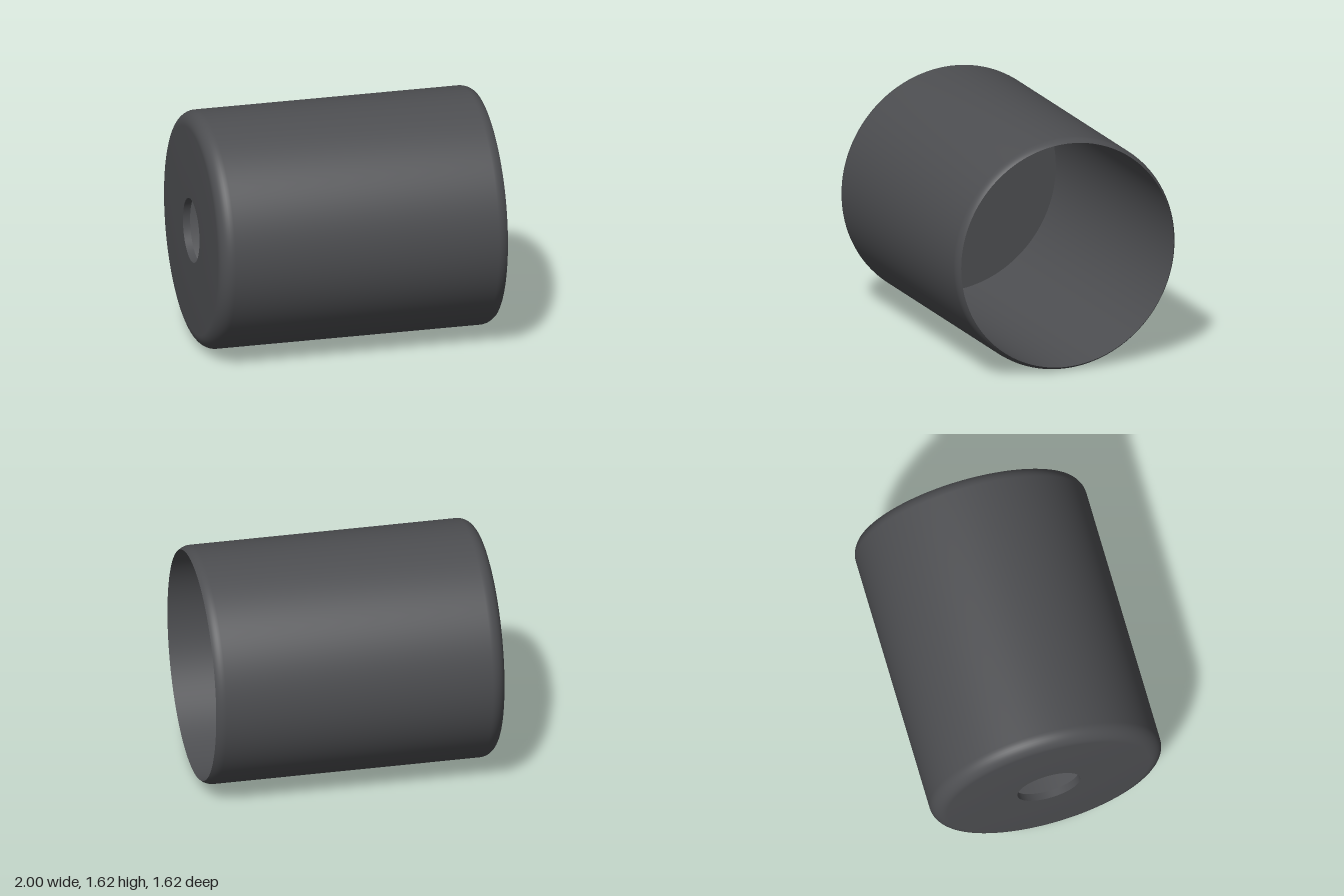
import * as THREE from 'three';
import { toCreasedNormals } from 'three/addons/utils/BufferGeometryUtils.js';

const R = 0.81;        // outer radius
const INNER = 0.784;   // bore radius
const HOLE = 0.22;     // hole in the end wall
const FLOOR = 0.05;    // end wall thickness
const FILLET = 0.1;    // outer edge rounding

// Points of a fillet arc in (radius, axis) coordinates
function arc(axis, from, to, steps) {
  const points = [];
  for (let i = 0; i <= steps; i++) {
    const a = from + (to - from) * i / steps;
    points.push(new THREE.Vector2(R - FILLET + FILLET * Math.cos(a), axis + FILLET * Math.sin(a)));
  }
  return points;
}

export function createModel() {
  const group = new THREE.Group();
  group.name = 'hollowCap';
  const material = new THREE.MeshStandardMaterial({ color: 0x4d4e51 });

  // The thin wall cuts the rim rounding short where it meets the bore
  const rimAngle = Math.acos((INNER - R + FILLET) / FILLET);
  const rimAxis = 1 - FILLET * Math.sin(rimAngle);

  // Closed section: hole, end face, rounded edge, outer wall, rim, bore, floor
  const profile = [
    new THREE.Vector2(HOLE, -1 + FLOOR),
    new THREE.Vector2(HOLE, -1),
    ...arc(-1 + FILLET, -Math.PI / 2, 0, 10),
    ...arc(rimAxis, 0, rimAngle, 6),
    new THREE.Vector2(INNER, -1 + FLOOR),
    new THREE.Vector2(HOLE, -1 + FLOOR),
  ];
  const geometry = toCreasedNormals(new THREE.LatheGeometry(profile, 128), 0.5);

  // Lay the axis along x, open end towards +x
  const shell = new THREE.Mesh(geometry, material);
  shell.name = 'shell';
  shell.rotation.z = -Math.PI / 2;
  shell.position.y = R;
  group.add(shell);
  return group;
}
